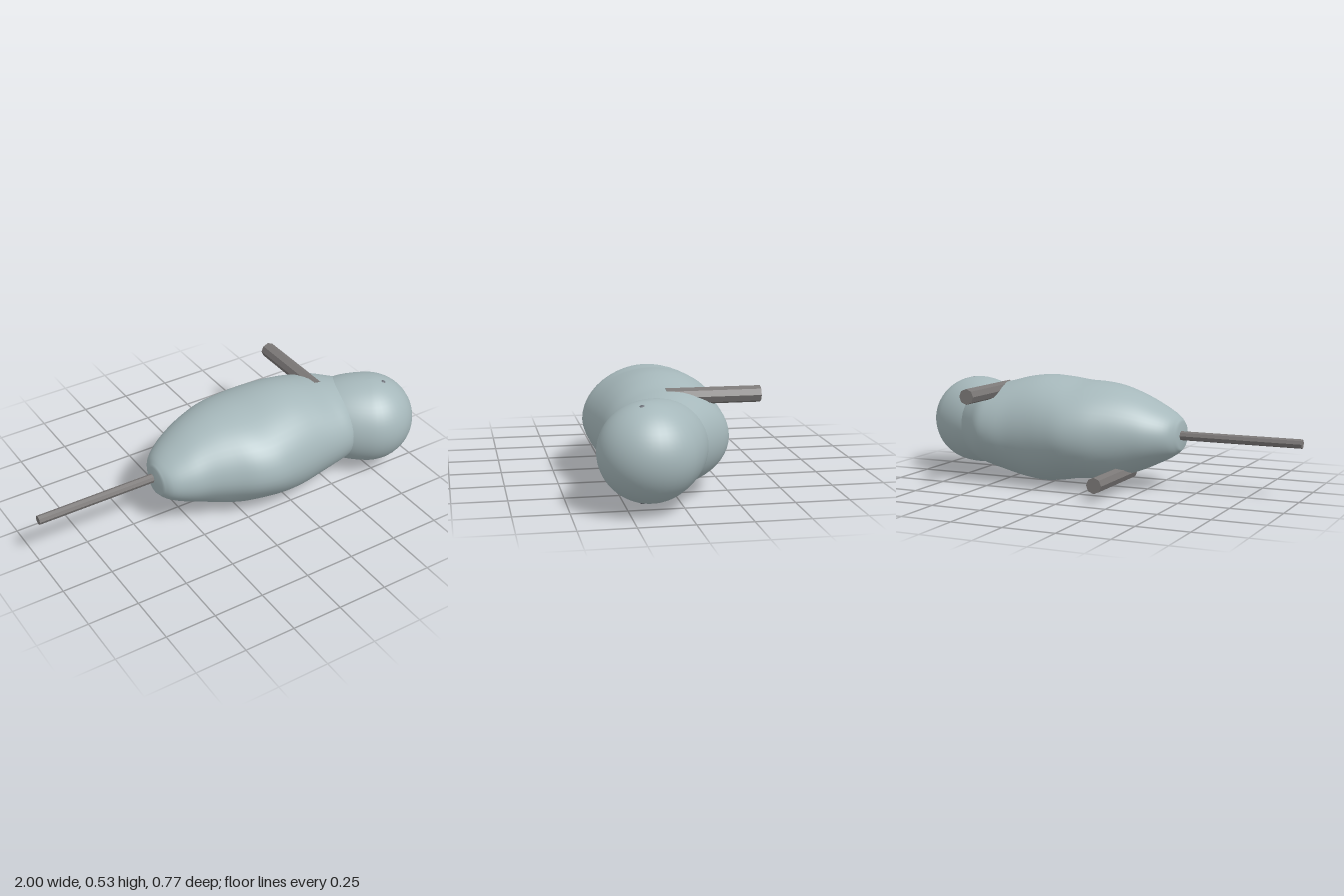
import * as THREE from 'three';

const skin = new THREE.MeshStandardMaterial({ color: 0xa6b8bb });
skin.name = 'blueGreySkin';
const rod = new THREE.MeshStandardMaterial({ color: 0x7b7877, flatShading: true });
rod.name = 'darkGreyRod';
const eyeGrey = new THREE.MeshStandardMaterial({ color: 0x6c7078 });
eyeGrey.name = 'eyeGrey';

const MID_Y = 0.268;

// Body cross-sections: x, zMin, zMax, yMin, yMax
const SECTIONS = [
  [-0.405, -0.01, 0.13, 0.20, 0.335],
  [-0.37, -0.08, 0.18, 0.168, 0.37],
  [-0.29, -0.145, 0.222, 0.125, 0.42],
  [-0.2, -0.19, 0.25, 0.085, 0.465],
  [-0.1, -0.232, 0.295, 0.05, 0.497],
  [0, -0.268, 0.345, 0.036, 0.511],
  [0.1, -0.285, 0.366, 0.03, 0.515],
  [0.2, -0.276, 0.358, 0.012, 0.528],
  [0.3, -0.262, 0.342, 0.004, 0.533],
  [0.4, -0.252, 0.326, 0.018, 0.52],
  [0.5, -0.25, 0.316, 0.044, 0.494],
  [0.57, -0.235, 0.305, 0.06, 0.48],
  [0.64, -0.182, 0.27, 0.074, 0.462],
  [0.72, -0.112, 0.24, 0.1, 0.436],
  [0.79, -0.05, 0.2, 0.16, 0.376],
];

function mesh(name, geometry, material, parent) {
  const m = new THREE.Mesh(geometry, material);
  m.name = name;
  parent.add(m);
  return m;
}

// Elliptical loops along x, smoothed between sections, with closed ends
function bodyGeometry() {
  const curve = (k) => new THREE.CatmullRomCurve3(
    SECTIONS.map((s) => new THREE.Vector3(s[0], s[k], s[k + 1])));
  const zs = curve(1), ys = curve(3);
  const rings = 56, sides = 48, pos = [], index = [];
  for (let i = 0; i <= rings; i++) {
    const a = zs.getPoint(i / rings), b = ys.getPoint(i / rings);
    for (let j = 0; j < sides; j++) {
      const t = (j / sides) * Math.PI * 2;
      // Shallow hollow along the lower front flank
      const dent = 1 - 0.05 * Math.exp(-(((a.x + 0.05) / 0.2) ** 2) - ((t - 5.75) / 0.3) ** 2);
      pos.push(
        a.x,
        (b.y + b.z) / 2 + Math.sin(t) * dent * (b.z - b.y) / 2,
        (a.y + a.z) / 2 + Math.cos(t) * dent * (a.z - a.y) / 2);
    }
  }
  for (let i = 0; i < rings; i++) {
    for (let j = 0; j < sides; j++) {
      const a = i * sides + j, b = i * sides + (j + 1) % sides;
      index.push(a, a + sides, b, b, a + sides, b + sides);
    }
  }
  const first = pos.length / 3;
  pos.push(-0.408, MID_Y, 0.06, 0.81, MID_Y, 0.08);
  for (let j = 0; j < sides; j++) {
    const k = (j + 1) % sides, end = rings * sides;
    index.push(first, j, k, first + 1, end + k, end + j);
  }
  const g = new THREE.BufferGeometry();
  g.setAttribute('position', new THREE.Float32BufferAttribute(pos, 3));
  g.setIndex(index);
  g.computeVertexNormals();
  return g;
}

// Round head, drawn out towards the neck
function headGeometry() {
  const g = new THREE.SphereGeometry(0.228, 40, 28);
  const p = g.attributes.position;
  for (let i = 0; i < p.count; i++) {
    if (p.getX(i) < 0) p.setX(i, p.getX(i) * 1.7);
    p.setY(i, p.getY(i) * 0.97);
  }
  g.computeVertexNormals();
  return g;
}

export function createModel() {
  const model = new THREE.Group();
  model.name = 'lyingAnimal';

  mesh('body', bodyGeometry(), skin, model);

  const head = mesh('head', headGeometry(), skin, model);
  head.position.set(0.77, MID_Y, 0.159);
  head.rotation.y = -0.58;

  // Small eyes on the two sides of the head
  for (const side of [-1, 1]) {
    const eye = mesh(side > 0 ? 'upperEye' : 'lowerEye',
      new THREE.SphereGeometry(0.012, 12, 8), eyeGrey, model);
    eye.scale.y = 0.5;
    eye.position.set(0.825, MID_Y + side * 0.208, 0.2);
    eye.rotation.set(side * 0.19, 0, -side * 0.27);
  }

  // Two rod legs pointing backwards
  for (const [name, x, y] of [['frontLeg', 0.527, 0.456], ['hindLeg', -0.14, 0.08]]) {
    const leg = mesh(name, new THREE.CylinderGeometry(0.038, 0.038, 0.43, 8), rod, model);
    leg.rotation.x = Math.PI / 2;
    leg.position.set(x, y, -0.172);
  }

  // Straight tail
  const tail = mesh('tail', new THREE.CylinderGeometry(0.022, 0.022, 0.65, 8), rod, model);
  tail.rotation.z = Math.PI / 2;
  tail.position.set(-0.675, MID_Y + 0.002, 0.037);

  return model;
}
